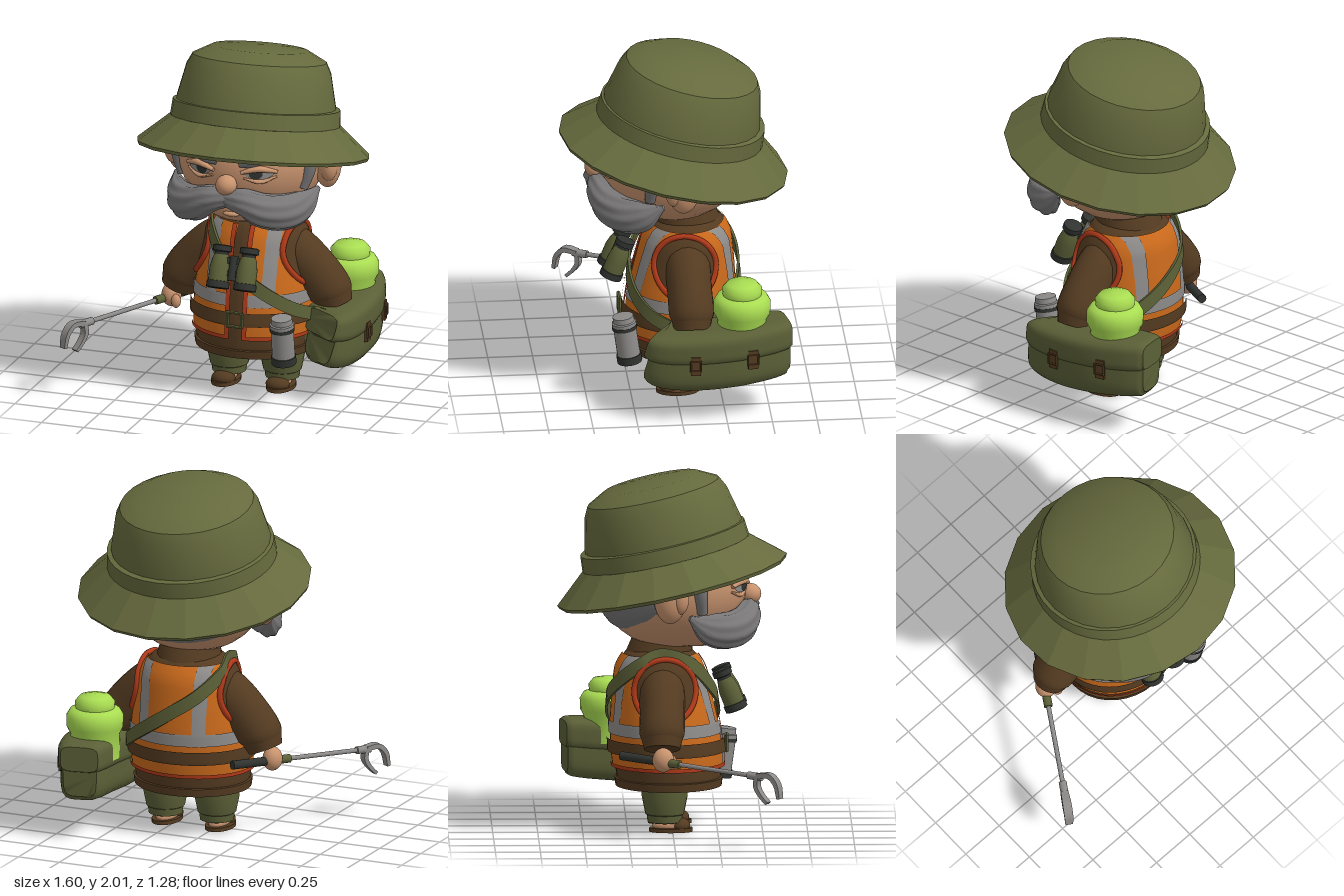
import * as THREE from 'three';
import { toCreasedNormals } from 'three/addons/utils/BufferGeometryUtils.js';

const V = (x, y, z) => new THREE.Vector3(x, y, z);
const C = 0.135; // body axis in x
const PI = Math.PI;

function makeMaterials() {
  const colours = {
    hatOlive: 0x666a3d, canvasOlive: 0x5b6037, sweaterBrown: 0x543b21, vestOrange: 0xcb6a1c, trimRed: 0xb23a1a,
    silver: 0x8e8c8a, hairGrey: 0x787676, skin: 0xc9946f, lime: 0xa9dc52, black: 0x30332f,
  };
  const mats = {};
  for (const [name, color] of Object.entries(colours)) {
    mats[name] = new THREE.MeshStandardMaterial({ color });
    mats[name].name = name;
  }
  return mats;
}

function indexed(pos, idx) {
  const g = new THREE.BufferGeometry();
  g.setAttribute('position', new THREE.Float32BufferAttribute(pos, 3));
  g.setIndex(idx);
  g.computeVertexNormals();
  return g;
}

// surface from a function of (u, v)
function grid(fn, nu = 24, nv = 10) {
  const pos = [], idx = [];
  for (let i = 0; i <= nu; i++) for (let j = 0; j <= nv; j++) {
    const p = fn(i / nu, j / nv);
    pos.push(p.x, p.y, p.z);
    if (i < nu && j < nv) {
      const a = i * (nv + 1) + j, b = a + nv + 1;
      idx.push(a, b, b + 1, a, b + 1, a + 1);
    }
  }
  return indexed(pos, idx);
}

// sweep an elliptical section along points [x, y, z, halfWidth, halfHeight]
function sweep(pts, { up = () => V(0, 1, 0), n = 24, sides = 14, closed = false, off = 0, shape = () => 1 } = {}) {
  const path = new THREE.CatmullRomCurve3(pts.map(p => V(p[0], p[1], p[2])), closed);
  const size = new THREE.CatmullRomCurve3(pts.map(p => V(p[3], p[4], 0)), closed, 'catmullrom', 0.4);
  const pos = [], idx = [];
  for (let i = 0; i <= n; i++) {
    const t = i / n, p = path.getPoint(t), r = size.getPoint(t), d = path.getTangent(t);
    const side = up(p).cross(d).normalize(), top = d.clone().cross(side);
    for (let j = 0; j < sides; j++) {
      const a = j / sides * PI * 2 + off, k = shape(a, t);
      const q = p.clone().addScaledVector(side, Math.cos(a) * r.x * k).addScaledVector(top, Math.sin(a) * r.y * k);
      pos.push(q.x, q.y, q.z);
      if (i < n) {
        const A = i * sides + j, B = i * sides + (j + 1) % sides;
        idx.push(A, B, B + sides, A, B + sides, A + sides);
      }
    }
  }
  if (!closed) for (let j = 1; j < sides - 1; j++) {
    const e = n * sides;
    idx.push(0, j + 1, j, e, e + j, e + j + 1);
  }
  return toCreasedNormals(indexed(pos, idx), 0.8);
}

const lathe = (pts, n = 28, crease = 0.6) =>
  toCreasedNormals(new THREE.LatheGeometry(pts.map(p => new THREE.Vector2(p[0], p[1])), n), crease);
const ball = (rx, ry, rz) => new THREE.SphereGeometry(1, 24, 16).scale(rx, ry, rz);

// torso outline [radius, height], flattened in depth and leaning back towards the top
const torso = [[0.30, 0.24], [0.325, 0.27], [0.335, 0.45], [0.325, 0.6], [0.3, 0.75], [0.27, 0.9], [0.235, 0.97], [0.19, 1.01], [0.13, 1.03]];
const FLAT = 0.89;
const radius = y => {
  const i = Math.max(1, torso.findIndex(p => p[1] >= y));
  const [a, b] = [torso[i - 1], torso[i]];
  return a[0] + (b[0] - a[0]) * (y - a[1]) / (b[1] - a[1]);
};
const lean = y => -0.02 - 0.05 * Math.min(1, Math.max(0, (y - 0.3) / 0.6));
const onBody = (phi, y, off) => V(C + (radius(y) + off) * Math.sin(phi), y, lean(y) + (radius(y) * FLAT + off) * Math.cos(phi));

// face surface
const HEAD = V(C, 1.38, 0), HR = V(0.42, 0.37, 0.42);
const onFace = (x, y, off) => V(x, y, off + HR.z * Math.sqrt(Math.max(0, 1 - ((x - C) / HR.x) ** 2 - ((y - HEAD.y) / HR.y) ** 2)));

export function createModel() {
  const M = makeMaterials();
  const root = new THREE.Group();
  root.name = 'oldRanger';
  const add = (name, geo, mat, x = 0, y = 0, z = 0, parent = root) => {
    const m = new THREE.Mesh(geo, M[mat]);
    m.name = name;
    m.position.set(x, y, z);
    parent.add(m);
    return m;
  };
  const group = (name, x, y, z) => {
    const g = new THREE.Group();
    g.name = name;
    g.position.set(x, y, z);
    root.add(g);
    return g;
  };

  // hat, tipped back
  const hat = group('hat', C, 1.385, 0);
  hat.rotation.x = -0.225;
  add('brim', lathe([[0.36, 0.16], [0.46, 0.13], [0.645, -0.015], [0.655, 0.005], [0.465, 0.17]], 18, 0.1), 'hatOlive', 0, 0, 0, hat);
  add('band', lathe([[0.45, 0.15], [0.475, 0.16], [0.467, 0.25], [0.4, 0.262]], 36), 'hatOlive', 0, 0, 0, hat);
  add('crown', lathe([[0.45, 0.2], [0.445, 0.27], [0.405, 0.45], [0.375, 0.51], [0.27, 0.567], [0, 0.583]], 28, 0.5), 'hatOlive', 0, 0, 0.008, hat);

  // head and hair
  add('head', ball(HR.x, HR.y, HR.z), 'skin', HEAD.x, HEAD.y, HEAD.z);
  add('jaw', ball(0.25, 0.125, 0.235), 'skin', C, 1.145, 0.13);
  add('hair', grid((u, v) => {
    const phi = PI * (0.54 + 0.92 * u);
    const low = 1.34 - 0.22 * Math.sin(PI * u) ** 0.4, y = low + (1.62 - low) * v;
    const k = Math.sqrt(1 - ((y - HEAD.y) / HR.y) ** 2) * (v === 0 ? 0.98 : 1.045);
    return V(C + HR.x * k * Math.sin(phi), y, HR.z * k * Math.cos(phi));
  }, 40, 14), 'hairGrey');
  add('nose', ball(0.06, 0.058, 0.06), 'skin', C, 1.31, 0.435);
  add('lowerLip', ball(0.05, 0.016, 0.025), 'skin', C, 1.115, 0.352);

  for (const s of [1, -1]) {
    const side = s > 0 ? 'left' : 'right';
    const X = d => C + s * d;
    const disc = (cx, cy, rx, ry, top, off) => grid((u, v) => {
      const a = u * PI * 2;
      return onFace(cx + rx * (1 - v) * Math.cos(a), cy + Math.min(top, ry * (1 - v) * Math.sin(a)), off);
    }, 20, 3);
    add(side + 'Ear', ball(0.075, 0.14, 0.09), 'skin', X(0.435), 1.345, -0.02);
    add(side + 'InnerEar', ball(0.05, 0.09, 0.05), 'skin', X(0.46), 1.35, 0.035);
    add(side + 'Sideburn', sweep([[X(0.37), 1.5, 0.15, 0.05, 0.04], [X(0.385), 1.38, 0.15, 0.045, 0.04], [X(0.355), 1.25, 0.16, 0.03, 0.03]],
      { up: () => V(0, 0, 1) }), 'hairGrey');
    add(side + 'Eye', disc(X(0.175), 1.38, 0.075, 0.035, 0.016, 0.005), 'silver');
    add(side + 'Iris', disc(X(0.16), 1.38, 0.036, 0.032, 0.015, 0.009), 'black');
    add(side + 'Eyelid', sweep([[X(0.08), 1.385, 0.42, 0.012, 0.01], [X(0.175), 1.408, 0.39, 0.022, 0.018], [X(0.265), 1.385, 0.33, 0.012, 0.01]]), 'skin');
    add(side + 'EyeBag', sweep([[X(0.09), 1.35, 0.405, 0.008, 0.006], [X(0.18), 1.33, 0.375, 0.016, 0.012], [X(0.26), 1.355, 0.325, 0.008, 0.006]]), 'skin');
    add(side + 'Eyebrow', sweep([[X(0.065), 1.435, 0.405, 0.02, 0.024], [X(0.13), 1.45, 0.395, 0.032, 0.035], [X(0.21), 1.467, 0.36, 0.03, 0.032], [X(0.27), 1.45, 0.31, 0.01, 0.01]]), 'hairGrey');
    // drooping moustache with combed ridges
    add(side + 'Moustache', sweep([
      [X(-0.01), 1.235, 0.43, 0.04, 0.05], [X(0.1), 1.215, 0.42, 0.07, 0.075], [X(0.2), 1.165, 0.38, 0.085, 0.095],
      [X(0.3), 1.145, 0.3, 0.085, 0.1], [X(0.37), 1.165, 0.2, 0.06, 0.085], [X(0.42), 1.235, 0.09, 0.012, 0.015],
    ], { n: 30, sides: 54, shape: (a, t) => 1 + 0.05 * Math.cos(9 * a + 5 * t) }), 'hairGrey');

    // sleeve, cuff and hand
    add(side + 'Sleeve', sweep([[X(0.13), 0.875, -0.06, 0.1, 0.1], [X(0.235), 0.805, -0.06, 0.125, 0.125], [X(0.35), 0.685, -0.062, 0.135, 0.125],
      [X(0.435), 0.585, -0.065, 0.125, 0.125], [X(0.46), 0.53, -0.065, 0.09, 0.1]], { up: () => V(0, 0, 1), sides: 20 }), 'sweaterBrown');
    add(side + 'Cuff', sweep([[X(0.435), 0.58, -0.065, 0.12, 0.12], [X(0.465), 0.505, -0.065, 0.098, 0.1]],
      { up: () => V(0, 0, 1), n: 3, sides: 20 }), 'sweaterBrown');
    add(side + 'Hand', ball(0.055, 0.068, 0.06), 'skin', X(0.505), 0.45, -0.06);
    add(side + 'Thumb', ball(0.027, 0.04, 0.027), 'skin', X(0.46), 0.43, -0.01);

    // armhole with red piping
    const hole = (a, k) => {
      const y = 0.8 + 0.175 * k * Math.sin(a), z = -0.045 - s * 0.17 * k * Math.cos(a);
      const x = Math.sqrt(Math.max(0.002, (radius(y) + 0.02) ** 2 - ((z - lean(y)) / FLAT) ** 2));
      return V(X(x), y, z);
    };
    add(side + 'Armhole', grid((u, v) => hole(u * PI * 2, 1 - v), 32, 6), 'sweaterBrown');
    const ring = Array.from({ length: 24 }, (_, i) => hole(i / 24 * PI * 2, 1));
    add(side + 'ArmholePiping', new THREE.TubeGeometry(new THREE.CatmullRomCurve3(ring, true), 48, 0.017, 6, true), 'trimRed');

    // vertical vest strips between two distances from the centre line
    const strip = (name, d0, d1, y0, y1, off, mat, back) => add(name, grid((u, v) => {
      const y = y0 + (y1 - y0) * v, d = s * back > 0 ? d0 + (d1 - d0) * u : d1 + (d0 - d1) * u;
      const phi = s * back * Math.asin(Math.min(1, d / radius(y)));
      return onBody(phi + (back < 0 ? PI : 0), y, off);
    }, 4, 16), mat);
    strip(side + 'FrontStripe', 0.125, 0.19, 0.6, 0.985, 0.021, 'silver', 1);
    strip(side + 'BackStripe', 0.125, 0.19, 0.6, 0.985, 0.021, 'silver', -1);
    strip(side + 'FrontPiping', 0.035, 0.06, 0.355, 0.985, 0.025, 'trimRed', 1);

    // trouser leg and sandal
    add(side + 'TrouserLeg', lathe([[0.08, 0.05], [0.095, 0.055], [0.1, 0.095], [0.108, 0.1], [0.128, 0.2], [0.125, 0.32]], 20), 'canvasOlive', X(0.157), 0, -0.045);
    add(side + 'Foot', ball(0.055, 0.04, 0.1), 'skin', X(0.16), 0.035, -0.015);
    add(side + 'SandalSole', new THREE.CylinderGeometry(0.078, 0.078, 0.022, 24).scale(1, 1, 1.55), 'sweaterBrown', X(0.163), 0.011, -0.01);
    add(side + 'SandalStrap', ball(0.068, 0.042, 0.055), 'sweaterBrown', X(0.16), 0.034, 0.042);
  }

  // sweater, collar and vest
  add('sweater', grid((u, v) => onBody(u * PI * 2, 0.24 + 0.79 * v, 0), 36, 24), 'sweaterBrown');
  add('sweaterUnderside', new THREE.CircleGeometry(0.305, 36).rotateX(PI / 2).scale(1, 1, FLAT), 'sweaterBrown', C, 0.238, -0.02);
  add('sweaterHem', lathe([[0.3, 0.235], [0.332, 0.24], [0.338, 0.285], [0.32, 0.29]], 36).scale(1, 1, FLAT), 'sweaterBrown', C, 0, -0.02);
  add('collar', lathe([[0.19, -0.06], [0.178, 0], [0.165, 0.055], [0.14, 0.06], [0.12, 0]]), 'sweaterBrown', C, 1.01, -0.06).rotation.x = 0.2;
  const hoop = (name, y0, y1, gap, off, mat) => add(name, grid((u, v) =>
    onBody(gap + (2 * PI - 2 * gap) * u, y0 + (y1 - y0) * v, off), 48, 16), mat);
  hoop('vest', 0.36, 0.985, 0.14, 0.014, 'vestOrange');
  hoop('vestHemPiping', 0.352, 0.374, 0.14, 0.023, 'trimRed');
  hoop('vestReflectiveBand', 0.54, 0.61, 0.17, 0.022, 'silver');
  hoop('belt', 0.435, 0.51, 0, 0.032, 'sweaterBrown');
  const buckle = new THREE.TorusGeometry(0.058, 0.012, 6, 4).rotateZ(PI / 4);
  add('beltBuckle', toCreasedNormals(buckle, 0.4), 'canvasOlive', C, 0.475, 0.302);

  // shoulder strap circling the body, [angle in degrees, height]
  const route = [[-90, 1.0], [-50, 0.95], [-20, 0.81], [10, 0.69], [35, 0.59], [60, 0.51], [90, 0.46], [120, 0.5], [150, 0.6], [180, 0.72], [210, 0.83], [245, 0.95]];
  add('shoulderStrap', sweep(route.map(([a, y]) => [...onBody(a * PI / 180, y, 0.036).toArray(), 0.052, 0.01]),
    { up: p => V(p.x - C, 0.02, p.z - lean(p.y)), n: 64, sides: 4, closed: true, off: PI / 4 }), 'canvasOlive');

  // satchel curving round the hip, narrower at its back end
  const satchel = [[0.58, 0.36, 0.115, 0.125, 0.125], [0.6, 0.35, 0.085, 0.15, 0.155], [0.622, 0.352, -0.08, 0.158, 0.168],
    [0.622, 0.365, -0.28, 0.155, 0.168], [0.595, 0.378, -0.46, 0.135, 0.165], [0.57, 0.385, -0.565, 0.11, 0.155], [0.565, 0.385, -0.59, 0.095, 0.13]];
  const boxy = { n: 28, sides: 36, shape: a => (Math.abs(Math.cos(a)) ** 4.5 + Math.abs(Math.sin(a)) ** 4.5) ** (-1 / 4.5) };
  add('satchelBody', sweep(satchel, boxy), 'canvasOlive');
  add('satchelFlap', sweep(satchel.map(([x, y, z, w, h]) => [x, y + 0.085, z * 1.015, w + 0.012, h * 0.54]), boxy), 'canvasOlive');
  for (const [x, y, z, turn] of [[0.786, 0.365, -0.07, 0], [0.768, 0.385, -0.39, 0.16]]) {
    const clasp = group('satchelClasp', x, y, z);
    clasp.rotation.y = turn;
    add('claspStrap', new THREE.BoxGeometry(0.02, 0.11, 0.055), 'sweaterBrown', 0, 0, 0, clasp);
    add('claspBuckle', toCreasedNormals(new THREE.TorusGeometry(0.04, 0.008, 6, 4).rotateZ(PI / 4).rotateY(PI / 2), 0.4), 'sweaterBrown', 0.01, 0, 0, clasp);
  }
  add('limeJar', lathe([[0.14, 0.42], [0.138, 0.56], [0.158, 0.6], [0.16, 0.66], [0.14, 0.695], [0.108, 0.705], [0.112, 0.74], [0.085, 0.772], [0, 0.785]], 24, 0.9), 'lime', 0.585, 0, -0.345);

  // binoculars hanging on the chest
  const bino = group('binoculars', C, 0.78, 0.315);
  bino.rotation.x = -0.38;
  for (const x of [-0.08, 0.08]) {
    add('barrel', lathe([[0.058, -0.08], [0.058, 0], [0.048, 0.05], [0.04, 0.07]], 20), 'canvasOlive', x, 0, 0, bino);
    add('objective', lathe([[0, -0.115], [0.05, -0.12], [0.064, -0.115], [0.064, -0.078], [0.05, -0.075]], 20), 'black', x, 0, 0, bino);
    add('eyepiece', lathe([[0.038, 0.06], [0.04, 0.085], [0.054, 0.09], [0.054, 0.12], [0.04, 0.125], [0, 0.118]], 20), 'black', x, 0, 0, bino);
  }
  add('hinge', new THREE.CylinderGeometry(0.024, 0.024, 0.14, 12), 'black', 0, 0, 0.01, bino);
  for (const y of [-0.03, 0.04]) add('bridge', new THREE.BoxGeometry(0.12, 0.035, 0.04), 'black', 0, y, 0, bino);

  // flask on the belt
  const flask = group('flask', 0.415, 0.38, 0.285);
  flask.rotation.x = 0.14;
  add('flaskBody', new THREE.CylinderGeometry(0.064, 0.064, 0.2, 24), 'silver', 0, 0, 0, flask);
  add('flaskCap', lathe([[0.064, 0.08], [0.068, 0.085], [0.068, 0.105], [0.06, 0.11], [0.058, 0.14], [0, 0.145]]), 'silver', 0, 0, 0, flask);
  for (const y of [-0.115, 0.075]) add('flaskRing', new THREE.CylinderGeometry(0.07, 0.07, y < 0 ? 0.045 : 0.02, 24), 'black', 0, y, 0, flask);

  // litter picker in the right hand
  const rod = (name, a, b, r, mat) => {
    const d = b.clone().sub(a), m = add(name, new THREE.CylinderGeometry(r, r, d.length(), 12), mat);
    m.position.copy(a).addScaledVector(d, 0.5);
    m.quaternion.setFromUnitVectors(V(0, 1, 0), d.normalize());
  };
  const tail = V(-0.23, 0.455, -0.29), tip = V(-0.7, 0.405, 0.46), at = t => tail.clone().lerp(tip, t);
  rod('pickerPole', at(0.2), tip, 0.013, 'silver');
  rod('pickerGrip', at(0), at(0.26), 0.025, 'black');
  rod('pickerCollar', at(0.26), at(0.43), 0.024, 'canvasOlive');
  rod('pickerHead', at(0.93), at(1.03), 0.022, 'silver');
  const across = { up: () => V(0.85, 0, 0.53), n: 12, sides: 4, off: PI / 4 };
  add('outerJaw', sweep([[-0.7, 0.41, 0.46, 0.02, 0.03], [-0.74, 0.415, 0.525, 0.02, 0.035], [-0.765, 0.37, 0.565, 0.018, 0.035], [-0.775, 0.29, 0.58, 0.014, 0.03]], across), 'silver');
  add('innerJaw', sweep([[-0.7, 0.41, 0.46, 0.018, 0.03], [-0.695, 0.35, 0.455, 0.018, 0.03], [-0.71, 0.3, 0.48, 0.015, 0.03], [-0.73, 0.26, 0.515, 0.013, 0.03]], across), 'silver');

  return root;
}
